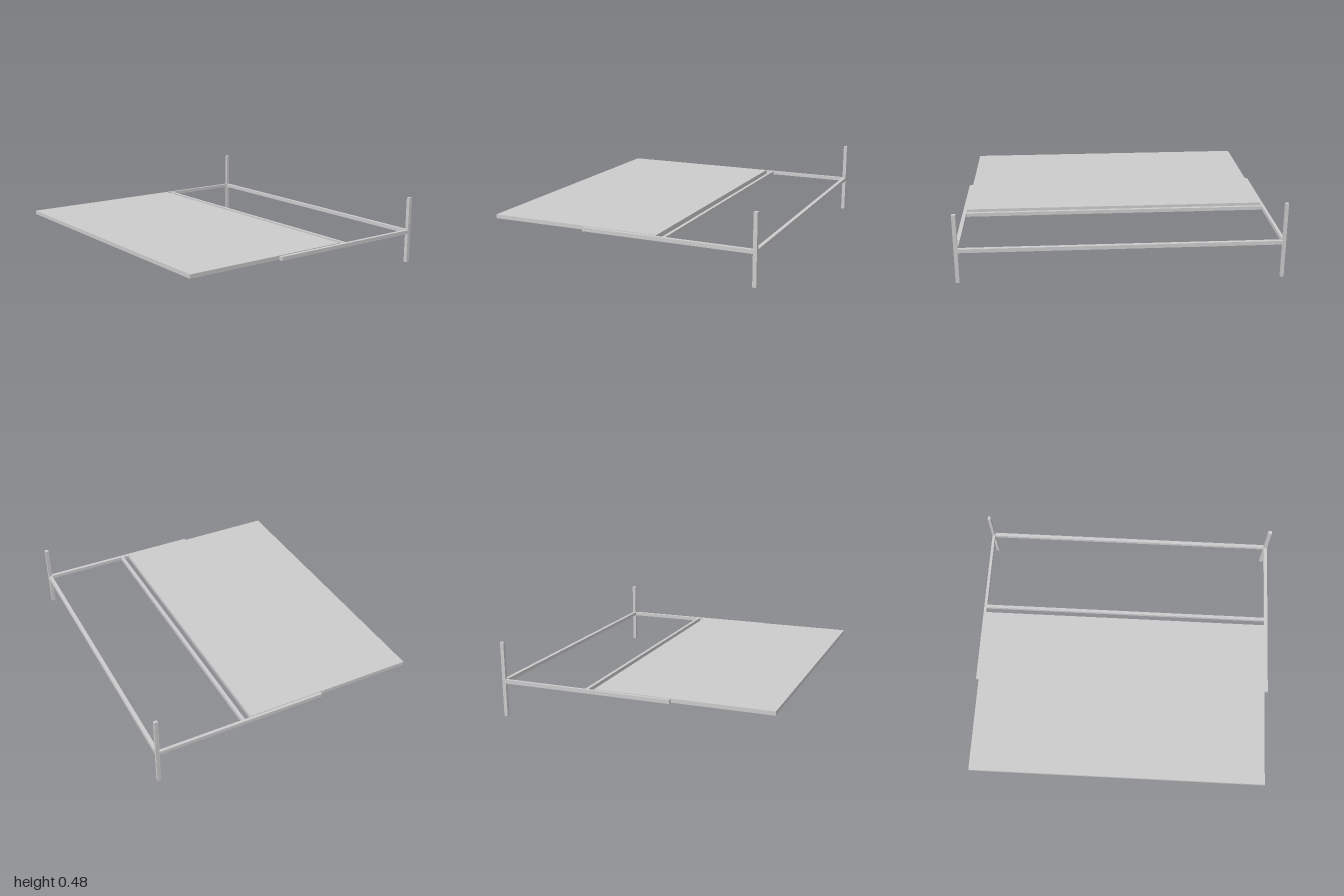
import * as THREE from 'three';

export function createModel() {
  const model = new THREE.Group();
  const material = new THREE.MeshStandardMaterial({ color: 0xcccccc, flatShading: true });

  // Box given by its lower and upper limits on each axis
  function bar(name, [x0, x1], [y0, y1], [z0, z1]) {
    const mesh = new THREE.Mesh(new THREE.BoxGeometry(x1 - x0, y1 - y0, z1 - z0), material);
    mesh.position.set((x0 + x1) / 2, (y0 + y1) / 2, (z0 + z1) / 2);
    mesh.name = name;
    model.add(mesh);
  }

  const rightX = [-1, -0.981];
  const leftX = [0.974, 0.998];
  const innerX = [-0.981, 0.974];
  const backZ = [-0.88, -0.856];
  const railY = [0.216, 0.24];

  // Upright posts at the back corners
  bar('rightPost', rightX, [0, 0.48], backZ);
  bar('leftPost', leftX, [0.02, 0.457], backZ);

  // Horizontal frame
  bar('rightRail', rightX, railY, [-0.856, 0.243]);
  bar('leftRail', leftX, railY, [-0.856, 0.234]);
  bar('backRail', innerX, railY, backZ);
  bar('crossRail', innerX, railY, [-0.31, -0.289]);

  // Flat panel sliding between the side rails
  bar('panel', innerX, [0.219, 0.244], [-0.251, 0.877]);

  return model;
}
